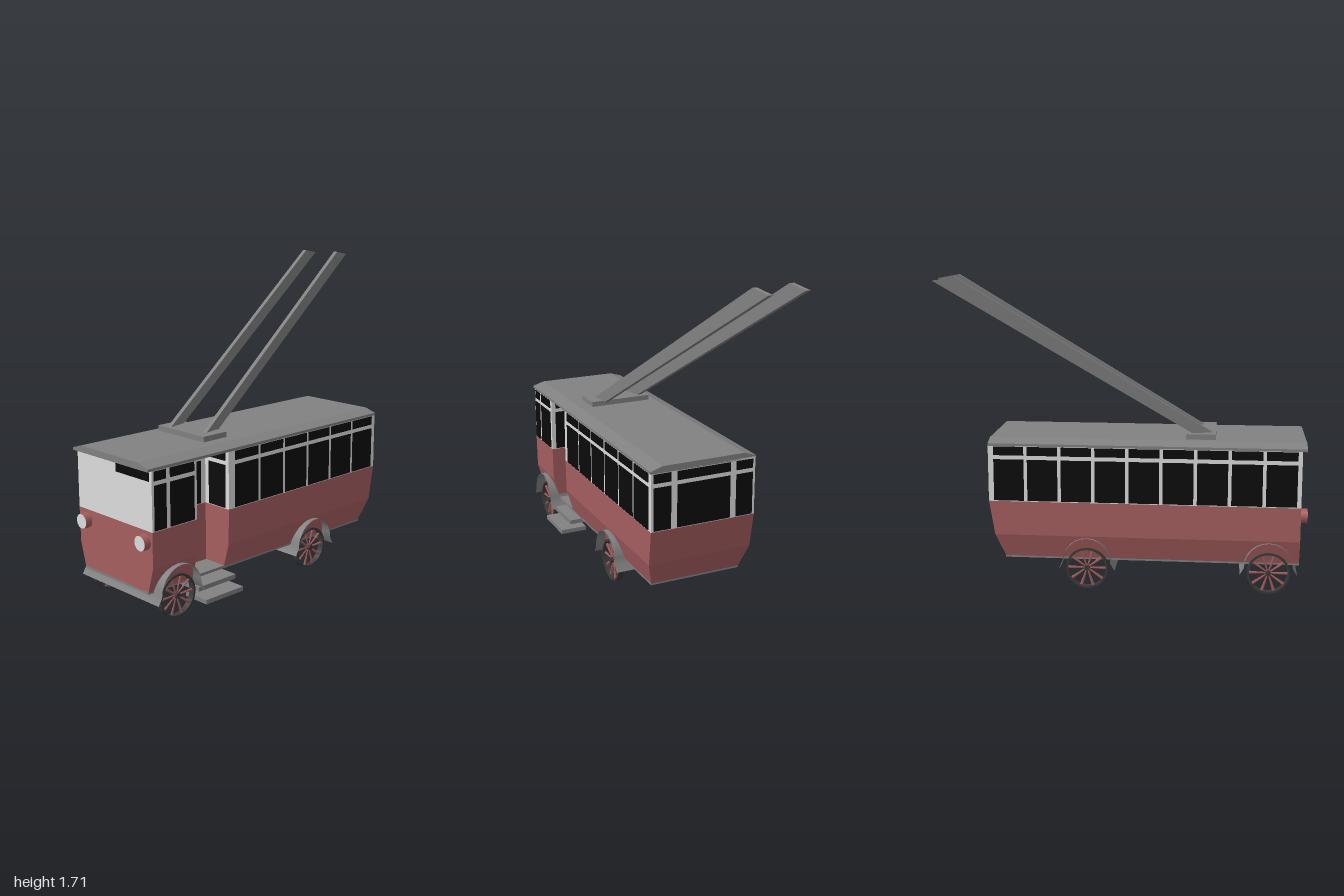
import * as THREE from 'three';

const mat = (name, color, side = THREE.FrontSide) => {
  const m = new THREE.MeshStandardMaterial({ color, side });
  m.name = name;
  return m;
};

export function createModel() {
  const red = mat('body red', 0xa65e60);
  const white = mat('frame white', 0xdcdcdc);
  const black = mat('window black', 0x0b0b0b);
  const grey = mat('roof grey', 0x818181, THREE.DoubleSide);
  const dark = mat('tyre dark', 0x3a3a3a);

  const model = new THREE.Group();
  model.name = 'trolleybus';
  const CX = 0.037; // middle of the body
  const HALF = 0.295;

  function add(name, geo, material, parent = model) {
    const mesh = new THREE.Mesh(geo, material);
    mesh.name = name;
    parent.add(mesh);
    return mesh;
  }
  // Box given by its limits
  function block(name, x0, x1, y0, y1, z0, z1, material) {
    const g = new THREE.BoxGeometry(x1 - x0, y1 - y0, z1 - z0);
    g.translate((x0 + x1) / 2, (y0 + y1) / 2, (z0 + z1) / 2);
    return add(name, g, material);
  }
  function flat(g) {
    const out = g.toNonIndexed();
    out.computeVertexNormals();
    return out;
  }

  // Lower body: three rows of height, narrowing towards the floor
  const rows = [
    { y: 0.17, half: 0.255, rear: 0.08 },
    { y: 0.3, half: 0.292, rear: 0.03 },
    { y: 0.49, half: HALF, rear: 0 },
  ];
  function lowerBody(name, z0, z1, innerX, tail) {
    const g = new THREE.BoxGeometry(2, 2, 2, 1, 2, 1);
    const p = g.attributes.position;
    for (let i = 0; i < p.count; i++) {
      const r = rows[Math.round(p.getY(i)) + 1];
      const right = innerX === undefined ? CX + r.half : innerX;
      const x = p.getX(i) > 0 ? right : CX - r.half;
      const z = p.getZ(i) > 0 ? z1 : z0 + (tail ? r.rear : 0);
      p.setXYZ(i, x, r.y, z);
    }
    add(name, flat(g), red);
  }
  const DOOR = 0.155; // x of the recessed door
  const L = CX - HALF, R = CX + HALF;
  const sections = [
    ['saloon', -0.73, 0.45, undefined, true],
    ['doorway', 0.45, 0.67, DOOR, false],
    ['cab', 0.67, 0.96, undefined, false],
  ];
  for (const [name, z0, z1, inner, tail] of sections) {
    lowerBody(name + 'LowerBody', z0, z1, inner, tail);
    block(name + 'UpperBody', L, inner === undefined ? R : inner, 0.49, 0.805, z0, z1, white);
  }

  // Windows: a tall pane and a small pane above the crossbar
  const T = 0.004;
  const panes = [[0.495, 0.724], [0.747, 0.795]];
  function sideWindow(name, x, z0, z1) {
    for (const [y0, y1] of panes) block(name, x - T, x + T, y0, y1, z0, z1, black);
  }
  function endWindow(name, z, x0, x1) {
    for (const [y0, y1] of panes) block(name, x0, x1, y0, y1, z - T, z + T, black);
  }
  for (let i = 0; i < 6; i++) {
    const z = -0.7 + i * 0.1875;
    sideWindow('leftSaloonWindow', R, z, z + 0.168);
  }
  sideWindow('cabWindow', R, 0.689, 0.845);
  sideWindow('cabCornerWindow', R, 0.871, 0.946);
  sideWindow('doorWindow', DOOR, 0.485, 0.665);
  endWindow('doorwayRearWindow', 0.45, DOOR + 0.03, R - 0.025);
  endWindow('doorwayFrontWindow', 0.67, DOOR + 0.03, R - 0.025);
  for (let i = 0; i < 9; i++) {
    const z = -0.7 + i * 0.184;
    sideWindow('rightSideWindow', L, z, z + 0.165);
  }
  endWindow('rearWindow', -0.73, CX - 0.15, CX + 0.15);
  for (const s of [-1, 1]) {
    const a = CX + s * 0.185, b = CX + s * 0.28;
    endWindow('rearCornerWindow', -0.73, Math.min(a, b), Math.max(a, b));
  }
  block('destinationSign', 0.06, 0.315, 0.744, 0.788, 0.956, 0.964, black);

  // Roof with sloping edges
  const h = HALF + 0.002;
  const roofShape = new THREE.Shape([
    [-h, 0.798], [h, 0.798], [h, 0.812], [0.23, 0.833], [-0.23, 0.833], [-h, 0.812],
  ].map(([x, y]) => new THREE.Vector2(CX + x, y)));
  const roof = new THREE.ExtrudeGeometry(roofShape, { depth: 1.715, bevelEnabled: false });
  roof.translate(0, 0, -0.73);
  add('roof', roof, grey);
  block('poleBase', -0.16, 0.2, 0.83, 0.862, 0.34, 0.5, grey);

  // Current collector poles: upright boxes sheared backwards and sideways
  for (const [x0, z0] of [[-0.097, 0.445], [0.126, 0.395]]) {
    const g = new THREE.BoxGeometry(0.026, 1, 0.11);
    const p = g.attributes.position;
    for (let i = 0; i < p.count; i++) {
      const t = p.getY(i) + 0.5, z = p.getZ(i);
      p.setXYZ(i,
        x0 + p.getX(i) + 0.2 * z - 0.264 * t,
        0.85 + 0.85 * t + 0.18 * z * t,
        z0 + z - (x0 < 0 ? 1.36 : 1.34) * t);
    }
    add('collectorPole', flat(g), grey);
  }

  // Floor and entrance steps
  block('floor', CX - 0.255, CX + 0.255, 0.16, 0.175, -0.65, 0.96, grey);
  block('upperStep', 0.18, 0.33, 0.1, 0.124, 0.4, 0.66, grey);
  block('lowerStep', 0.23, 0.385, 0.047, 0.071, 0.4, 0.66, grey);

  // Headlights
  for (const s of [-1, 1]) {
    const x = 0.043 + s * 0.235;
    const shell = new THREE.CylinderGeometry(0.04, 0.04, 0.045, 20).rotateX(Math.PI / 2);
    add('headlightShell', shell, red).position.set(x, 0.432, 0.975);
    const lens = new THREE.CircleGeometry(0.039, 20);
    add('headlightLens', lens, white).position.set(x, 0.432, 0.9985);
  }

  // Wheels with thin rims and tapered spokes
  function wheel(x, z) {
    const g = new THREE.Group();
    g.name = 'wheel';
    const rim = [[0.104, -0.017], [0.115, -0.017], [0.115, 0.017], [0.104, 0.017], [0.104, -0.017]]
      .map(([r, y]) => new THREE.Vector2(r, y));
    const rimGeo = flat(new THREE.LatheGeometry(rim, 28)).rotateZ(Math.PI / 2);
    add('rim', rimGeo, dark, g);
    add('hub', new THREE.CylinderGeometry(0.015, 0.015, 0.036, 12).rotateZ(Math.PI / 2), dark, g);
    for (let i = 0; i < 10; i++) {
      const spoke = new THREE.CylinderGeometry(0.009, 0.004, 0.096, 4).translate(0, 0.058, 0);
      add('spoke', spoke, red, g).rotation.x = (i + 0.5) * Math.PI / 5;
    }
    g.position.set(x, 0.116, z);
    model.add(g);
  }

  // Full-width mudguard sheet: an arch with flared ends
  function mudguard(z) {
    const N = 14;
    const g = new THREE.PlaneGeometry(0.62, 1, 1, N);
    const p = g.attributes.position;
    for (let i = 0; i < p.count; i++) {
      const k = Math.floor(i / 2);
      const a = Math.PI * (k - 1) / (N - 2);
      const end = k === 0 ? 1 : k === N ? -1 : 0;
      const dz = end ? end * 0.155 : Math.cos(a) * 0.132;
      const y = end ? 0.112 : 0.15 + Math.sin(a) * 0.14;
      p.setXYZ(i, 0.045 + p.getX(i), y, z + dz);
    }
    g.computeVertexNormals();
    add('mudguard', g, grey);
  }
  for (const z of [0.795, -0.195]) {
    for (const x of [-0.228, 0.308]) wheel(x, z);
    mudguard(z);
  }
  return model;
}
